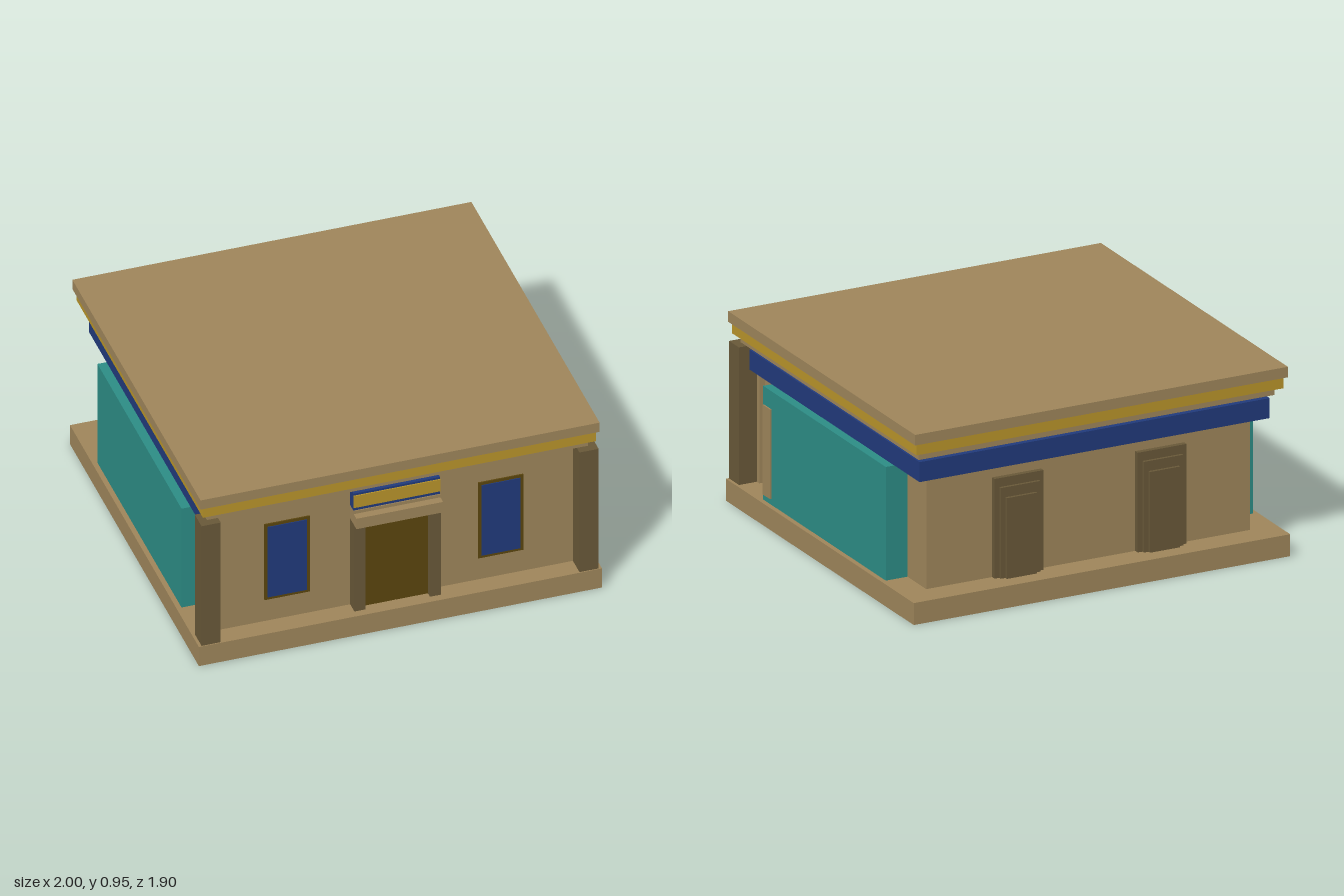
import * as THREE from 'three';

const mat = (name, color) => {
  const m = new THREE.MeshStandardMaterial({ color });
  m.name = name;
  return m;
};

export function createModel() {
  const stone = mat('tan stone', 0x9e855a);
  const brown = mat('dark brown', 0x685838);
  const bronze = mat('dark bronze', 0x5a450e);
  const gold = mat('gold', 0xb8942a);
  const blue = mat('deep blue', 0x213a7b);
  const teal = mat('teal', 0x2c8c85);

  const model = new THREE.Group();
  model.name = 'pavilion';

  // Box given by its [min, max] extents on each axis
  const box = (name, material, [x0, x1], [y0, y1], [z0, z1], parent = model) => {
    const mesh = new THREE.Mesh(new THREE.BoxGeometry(x1 - x0, y1 - y0, z1 - z0), material);
    mesh.position.set((x0 + x1) / 2, (y0 + y1) / 2, (z0 + z1) / 2);
    mesh.name = name;
    parent.add(mesh);
    return mesh;
  };
  const group = (name) => {
    const g = new THREE.Group();
    g.name = name;
    model.add(g);
    return g;
  };
  // x range around a centre
  const around = (c, half) => [c - half, c + half];

  // Main body
  box('base', stone, [-1, 1], [0, 0.11], [-0.95, 0.95]);
  box('coreWalls', stone, [-0.86, 0.86], [0.11, 0.84], [-0.81, 0.82]);
  box('frontWall', stone, [-0.89, 0.89], [0.11, 0.78], [0.82, 0.848]);
  box('blueBand', blue, [-0.93, 0.93], [0.68, 0.78], [-0.875, 0.843]);

  // Stepped roof
  const roof = group('roof');
  box('lowerCornice', stone, [-0.945, 0.945], [0.8, 0.835], [-0.895, 0.905], roof);
  box('goldCornice', gold, [-0.975, 0.975], [0.84, 0.897], [-0.93, 0.935], roof);
  box('roofSlab', stone, [-0.99, 0.99], [0.897, 0.95], [-0.945, 0.945], roof);

  // Parts repeated on both sides
  for (const s of [-1, 1]) {
    const side = s > 0 ? 'left' : 'right';
    box(side + 'Pillar', brown, around(s * 0.9375, 0.0475), [0.11, 0.8], [0.845, 0.945]);
    box(side + 'SidePanel', teal, around(s * 0.9175, 0.0575), [0.11, 0.68], [-0.62, 0.62]);

    const win = group(side + 'Window');
    box('windowFrame', bronze, around(s * 0.53, 0.112), [0.235, 0.67], [0.847, 0.855], win);
    box('windowPane', blue, around(s * 0.53, 0.097), [0.25, 0.655], [0.853, 0.859], win);

    // Stepped false door on the back wall
    const back = group(side + 'BackDoor');
    box('outerStep', brown, around(s * 0.38, 0.13), [0.11, 0.61], [-0.835, -0.81], back);
    box('middleStep', brown, around(s * 0.38, 0.105), [0.11, 0.565], [-0.85, -0.83], back);
    box('innerPanel', brown, around(s * 0.38, 0.08), [0.11, 0.515], [-0.865, -0.845], back);
  }

  // Narrow plate on the left side panel
  box('sidePlate', stone, [0.97, 0.983], [0.14, 0.59], [0.535, 0.61]);

  // Front entrance
  const entrance = group('entrance');
  for (const s of [-1, 1]) {
    box('doorJamb', brown, around(s * 0.1875, 0.0275), [0.11, 0.605], [0.845, 0.91], entrance);
    box('doorLeaf', bronze, around(s * 0.0805, 0.0795), [0.11, 0.605], [0.845, 0.88], entrance);
  }
  box('doorSeam', brown, [-0.001, 0.001], [0.11, 0.605], [0.846, 0.876], entrance);
  box('lintel', stone, [-0.215, 0.215], [0.605, 0.665], [0.845, 0.94], entrance);
  box('lintelTop', stone, [-0.215, 0.215], [0.665, 0.682], [0.845, 0.9], entrance);
  box('signBack', blue, [-0.215, 0.215], [0.682, 0.779], [0.845, 0.895], entrance);
  box('signPanel', gold, [-0.215, 0.215], [0.7, 0.768], [0.893, 0.901], entrance);

  return model;
}
